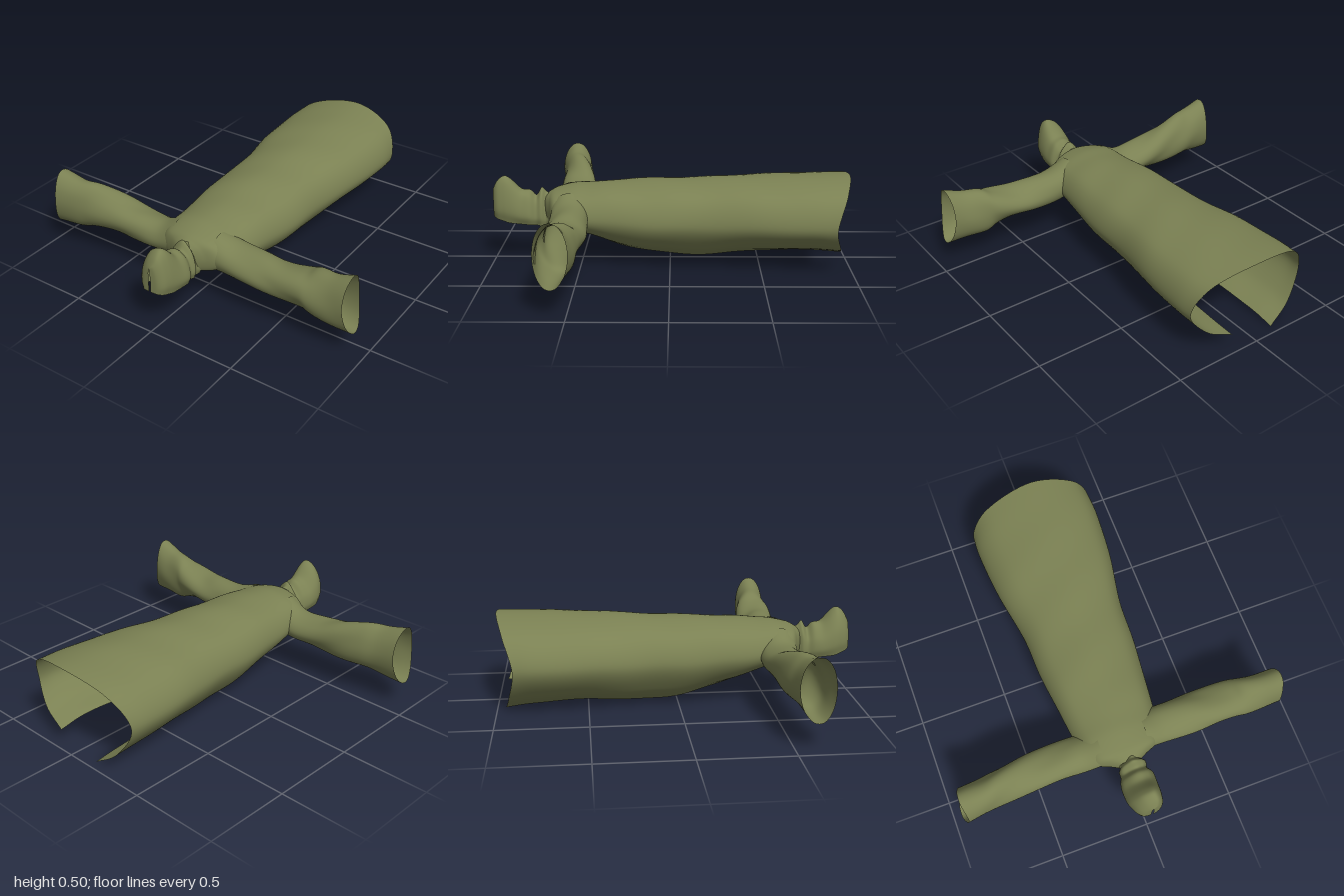
import * as THREE from 'three';

const olive = new THREE.MeshStandardMaterial({ color: 0x7b8153, side: THREE.DoubleSide });
olive.name = 'olive cloth';

// Smooth surface through a list of cross-sections (each a list of Vector3).
function loft(name, sections, { closed = false, nu = 48, nv = 60, skip = null, ripple = null } = {}) {
  const rings = sections.map((s) => {
    const curve = new THREE.CatmullRomCurve3(s, closed, 'catmullrom', 0.5);
    return Array.from({ length: nu + 1 }, (_, i) => curve.getPoint(closed ? (i % nu) / nu : i / nu));
  });
  const cols = closed ? nu : nu + 1;
  const pos = [];
  for (let i = 0; i < cols; i++) {
    const rail = new THREE.CatmullRomCurve3(rings.map((r) => r[i]), false, 'catmullrom', 0.5);
    for (let j = 0; j <= nv; j++) {
      const p = rail.getPoint(j / nv);
      if (ripple) ripple(p, i / nu, j / nv);
      pos.push(p.x, p.y, p.z);
    }
  }
  const index = [];
  const mid = new THREE.Vector3();
  for (let i = 0; i < nu; i++) {
    for (let j = 0; j < nv; j++) {
      const a = i * (nv + 1) + j;
      const b = ((i + 1) % cols) * (nv + 1) + j;
      mid.set(pos[a * 3] + pos[b * 3 + 3], pos[a * 3 + 1] + pos[b * 3 + 4], pos[a * 3 + 2] + pos[b * 3 + 5]);
      if (skip && skip(mid.multiplyScalar(0.5))) continue;
      index.push(a, b, a + 1, b, b + 1, a + 1);
    }
  }
  const geo = new THREE.BufferGeometry();
  geo.setAttribute('position', new THREE.Float32BufferAttribute(pos, 3));
  geo.setIndex(index);
  geo.computeVertexNormals();
  const mesh = new THREE.Mesh(geo, olive);
  mesh.name = name;
  return mesh;
}

// Coat body: an arch that is open along the underside.
function buildBody() {
  // z, half width, widest height, top, right edge x/y, left edge x/y, hem curve, top shift
  const rows = [
    [-1.0, 0.365, 0.27, 0.5, 0.14, 0.0, 0.13, 0.075, 0.1, 0.04],
    [-0.8, 0.37, 0.27, 0.495, 0.14, 0.02, 0.14, 0.09, 0.03, 0.04],
    [-0.5, 0.348, 0.27, 0.485, 0.13, 0.03, 0.13, 0.085, 0, 0.03],
    [-0.2, 0.297, 0.26, 0.47, 0.13, 0.02, 0.13, 0.06, 0, 0.02],
    [0.05, 0.285, 0.26, 0.46, 0.115, 0.04, 0.11, 0.065, 0, 0],
    [0.3, 0.257, 0.27, 0.45, 0.06, 0.1, 0.06, 0.1, 0, 0],
    [0.45, 0.24, 0.28, 0.435, 0.02, 0.15, 0.02, 0.15, 0, 0],
    [0.55, 0.225, 0.29, 0.43, 0.006, 0.18, 0.006, 0.18, 0, 0],
    [0.64, 0.19, 0.3, 0.41, 0.01, 0.195, 0.01, 0.195, 0, 0],
    [0.68, 0.11, 0.3, 0.39, 0.02, 0.2, 0.02, 0.2, 0, 0],
    [0.705, 0.06, 0.3, 0.37, 0.025, 0.205, 0.025, 0.205, 0, 0],
  ];
  const sections = rows.map(([z, w, m, top, xr, br, xl, bl, hem, dx]) => {
    const side = (s, ex, b) => [
      new THREE.Vector3(s * ex, b, z + hem * 0.45),
      new THREE.Vector3(s * Math.max(ex, w * 0.76), m - 0.65 * (m - b), z + hem * 0.7),
      new THREE.Vector3(s * w, m, z + hem),
      new THREE.Vector3(s * 0.74 * w + dx * 0.5, m + 0.71 * (top - m), z + hem * 0.45),
    ];
    return [...side(-1, xr, br), new THREE.Vector3(dx, top, z), ...side(1, xl, bl).reverse()];
  });
  return loft('coatBody', sections, {
    nu: 72,
    nv: 100,
    // armholes
    skip: (p) => Math.abs(p.x) > 0.1 && ((p.z - 0.555) / 0.08) ** 2 + ((p.y - 0.29) / 0.07) ** 2 < 1,
    ripple: (p, u, v) => {
      p.y += 0.003 * Math.sin(p.z * 17 + p.x * 9) * Math.sin(v * Math.PI);
    },
  });
}

// Sleeve: a creased tube that widens to an open cuff.
function buildSleeve(name, s, rows, phase) {
  const sections = rows.map(([x, y0, y1, z0, z1]) =>
    Array.from({ length: 10 }, (_, i) => {
      const a = (i / 10) * Math.PI * 2;
      const cuff = x > 0.88 ? 0.012 * Math.cos(a * 2) + 0.012 * Math.sin(a) : 0;
      return new THREE.Vector3(
        s * (x - cuff),
        (y0 + y1) / 2 + ((y1 - y0) / 2) * Math.sin(a),
        (z0 + z1) / 2 + ((z1 - z0) / 2) * Math.cos(a),
      );
    }));
  return loft(name, sections, {
    closed: true,
    ripple: (p, u, v) => {
      const fold = 0.007 * Math.sin(u * Math.PI * 6 + v * 11 + phase) * Math.sin(v * Math.PI);
      p.y += fold * Math.sin(u * Math.PI * 2);
      p.z += fold * Math.cos(u * Math.PI * 2);
    },
  });
}

// Hood: a folded arch, gathered at the neck, closed in front, open underneath.
function buildHood() {
  // z, right x, left x, bottom, top, peak x
  const rows = [
    [0.675, -0.08, 0.09, 0.21, 0.375, 0.01],
    [0.7, -0.055, 0.075, 0.2, 0.385, 0.0],
    [0.725, -0.068, 0.09, 0.205, 0.41, 0.01],
    [0.755, -0.07, 0.085, 0.21, 0.37, 0.02],
    [0.79, -0.085, 0.105, 0.215, 0.4, 0.02],
    [0.84, -0.092, 0.105, 0.22, 0.41, 0.025],
    [0.9, -0.09, 0.1, 0.225, 0.47, 0.03],
    [0.935, -0.08, 0.095, 0.235, 0.485, 0.03],
    [0.97, -0.062, 0.085, 0.245, 0.46, 0.035],
    [0.993, -0.035, 0.06, 0.255, 0.42, 0.03],
    [1.0, 0.008, 0.02, 0.26, 0.4, 0.015],
  ];
  const sections = rows.map(([z, xr, xl, b, top, cx]) => {
    const h = top - b;
    const at = (x, f) => new THREE.Vector3(x, b + h * f, z);
    return [
      at(xr * 0.85, 0), at(xr, 0.25), at(xr * 0.88 + cx * 0.12, 0.58), at(xr * 0.5 + cx * 0.5, 0.88),
      at(cx, 1),
      at(xl * 0.5 + cx * 0.5, 0.9), at(xl * 0.85 + cx * 0.15, 0.6), at(xl, 0.25), at(xl * 0.85, 0),
    ];
  });
  return loft('hood', sections, {
    ripple: (p, u, v) => {
      // gathers fade out away from the neck
      p.y += 0.012 * Math.sin(u * 26 + v * 6) * Math.max(0, 0.6 - v) * Math.sin(u * Math.PI);
    },
  });
}

export function createModel() {
  const coat = new THREE.Group();
  coat.name = 'coat';
  // x, bottom, top, back, front
  const left = [
    [0.13, 0.2, 0.41, 0.46, 0.66],
    [0.25, 0.19, 0.375, 0.445, 0.655],
    [0.4, 0.19, 0.365, 0.44, 0.66],
    [0.52, 0.19, 0.362, 0.445, 0.662],
    [0.65, 0.178, 0.39, 0.452, 0.66],
    [0.72, 0.15, 0.415, 0.46, 0.66],
    [0.82, 0.142, 0.43, 0.475, 0.66],
    [0.925, 0.14, 0.472, 0.487, 0.66],
  ];
  const right = [
    [0.13, 0.2, 0.41, 0.46, 0.665],
    [0.25, 0.193, 0.355, 0.45, 0.66],
    [0.4, 0.185, 0.365, 0.455, 0.66],
    [0.55, 0.18, 0.4, 0.465, 0.662],
    [0.7, 0.17, 0.43, 0.487, 0.672],
    [0.8, 0.153, 0.442, 0.508, 0.685],
    [0.925, 0.14, 0.472, 0.518, 0.702],
  ];
  coat.add(
    buildBody(),
    buildSleeve('leftSleeve', 1, left, 0),
    buildSleeve('rightSleeve', -1, right, 2),
    buildHood(),
  );
  return coat;
}
